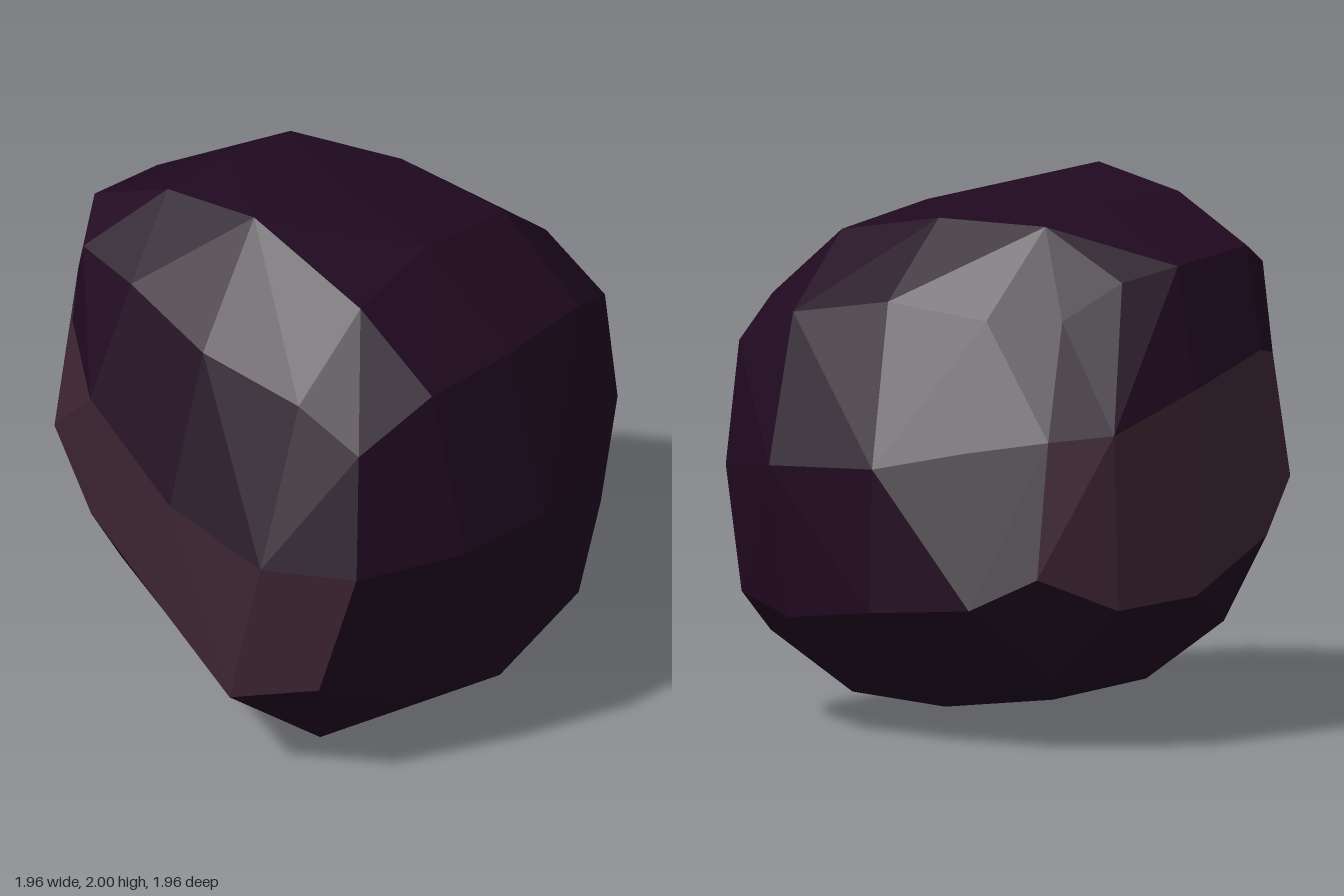
import * as THREE from 'three';

// Horizontal cross-sections: 16 points each, four per side,
// starting at the front corner on -x and running round through +x, back and -x.
const low = [
  [-.84, .44, .62], [-.52, .29, .74], [0, .19, .78], [.5, .3, .74],
  [.81, .49, .59], [.92, .44, .25], [.945, .5, -.18], [.86, .54, -.6],
  [.72, .66, -.81], [.43, .53, -.94], [.06, .55, -.98], [-.33, .73, -.96],
  [-.59, .91, -.83], [-.72, .7, -.55], [-.88, .54, -.08], [-.95, .34, .29],
];
const middle = [
  [-.82, .95, .78], [-.39, .93, .94], [.01, .93, .98], [.41, .93, .89],
  [.82, .95, .66], [.98, 1, .29], [.95, 1.03, -.2], [.77, 1.1, -.5],
  [.62, 1.15, -.77], [.43, 1.17, -.92], [.05, 1.3, -.96], [-.32, 1.41, -.94],
  [-.56, 1.36, -.77], [-.8, 1.24, -.49], [-.94, 1.03, 0], [-.98, .95, .46],
];
const high = [
  [-.71, 1.39, .7], [-.4, 1.54, .79], [.03, 1.54, .81], [.46, 1.53, .77],
  [.76, 1.4, .65], [.8, 1.54, .34], [.73, 1.61, -.07], [.59, 1.56, -.43],
  [.41, 1.56, -.64], [.2, 1.69, -.74], [0, 1.74, -.83], [-.36, 1.78, -.83],
  [-.56, 1.69, -.72], [-.65, 1.68, -.42], [-.75, 1.59, 0], [-.75, 1.53, .45],
];

// Inner 3 x 3 points of the caps, rows running front to back
const crown = [
  [[-.42, 1.8, .47], [0, 1.86, .43], [.46, 1.8, .42]],
  [[-.42, 2, -.03], [.02, 1.96, -.03], [.41, 1.88, -.02]],
  [[-.38, 1.94, -.47], [0, 1.93, -.48], [.31, 1.88, -.46]],
];
const base = [
  [[-.59, .06, .42], [-.02, 0, .36], [.53, .12, .3]],
  [[-.58, .21, -.19], [-.02, .08, -.18], [.53, .15, -.25]],
  [[-.45, .37, -.63], [0, .21, -.67], [.5, .26, -.69]],
];

const centre = new THREE.Vector3(0, 1, 0);

// Splits a quad along the diagonal that keeps the surface convex
function quad(out, a, b, c, d) {
  const reach = (p, q) => new THREE.Vector3(...p).add(new THREE.Vector3(...q))
    .multiplyScalar(0.5).distanceTo(centre);
  const tris = reach(a, c) >= reach(b, d) ? [a, b, c, a, c, d] : [a, b, d, b, c, d];
  out.push(...tris.flat());
}

// Quads between two cross-sections, from column start to column end
function band(lower, upper, start, end) {
  const out = [];
  for (let i = start; i < end; i++) {
    const n = (i + 1) % 16;
    quad(out, lower[i], lower[n], upper[n], upper[i]);
  }
  return out;
}

// 4 x 4 quads closing a cross-section
function cap(ring, inner, facesUp) {
  const at = (i, j) => {
    if (j === 0) return ring[i];
    if (i === 4) return ring[4 + j];
    if (j === 4) return ring[12 - i];
    if (i === 0) return ring[16 - j];
    return inner[j - 1][i - 1];
  };
  const out = [];
  for (let j = 0; j < 4; j++) {
    for (let i = 0; i < 4; i++) {
      const q = [at(i, j), at(i + 1, j), at(i + 1, j + 1), at(i, j + 1)];
      if (!facesUp) q.reverse();
      quad(out, ...q);
    }
  }
  return out;
}

export function createModel() {
  const purple = new THREE.MeshStandardMaterial({ color: 0x200920, flatShading: true });
  purple.name = 'dark purple';
  const brown = new THREE.MeshStandardMaterial({ color: 0x3e2633, flatShading: true });
  brown.name = 'dusky brown';

  const group = new THREE.Group();
  group.name = 'rock';
  const add = (name, positions, material) => {
    const geometry = new THREE.BufferGeometry();
    geometry.setAttribute('position', new THREE.Float32BufferAttribute(positions, 3));
    geometry.computeVertexNormals();
    const mesh = new THREE.Mesh(geometry, material);
    mesh.name = name;
    group.add(mesh);
  };

  add('crown', cap(high, crown, true), purple);
  add('upperSides', band(middle, high, 0, 16), purple);
  add('lowerSides', band(low, middle, 0, 8), purple);
  add('paleBand', band(low, middle, 8, 16), brown); // back and -x side
  add('base', cap(low, base, false), purple);
  return group;
}
